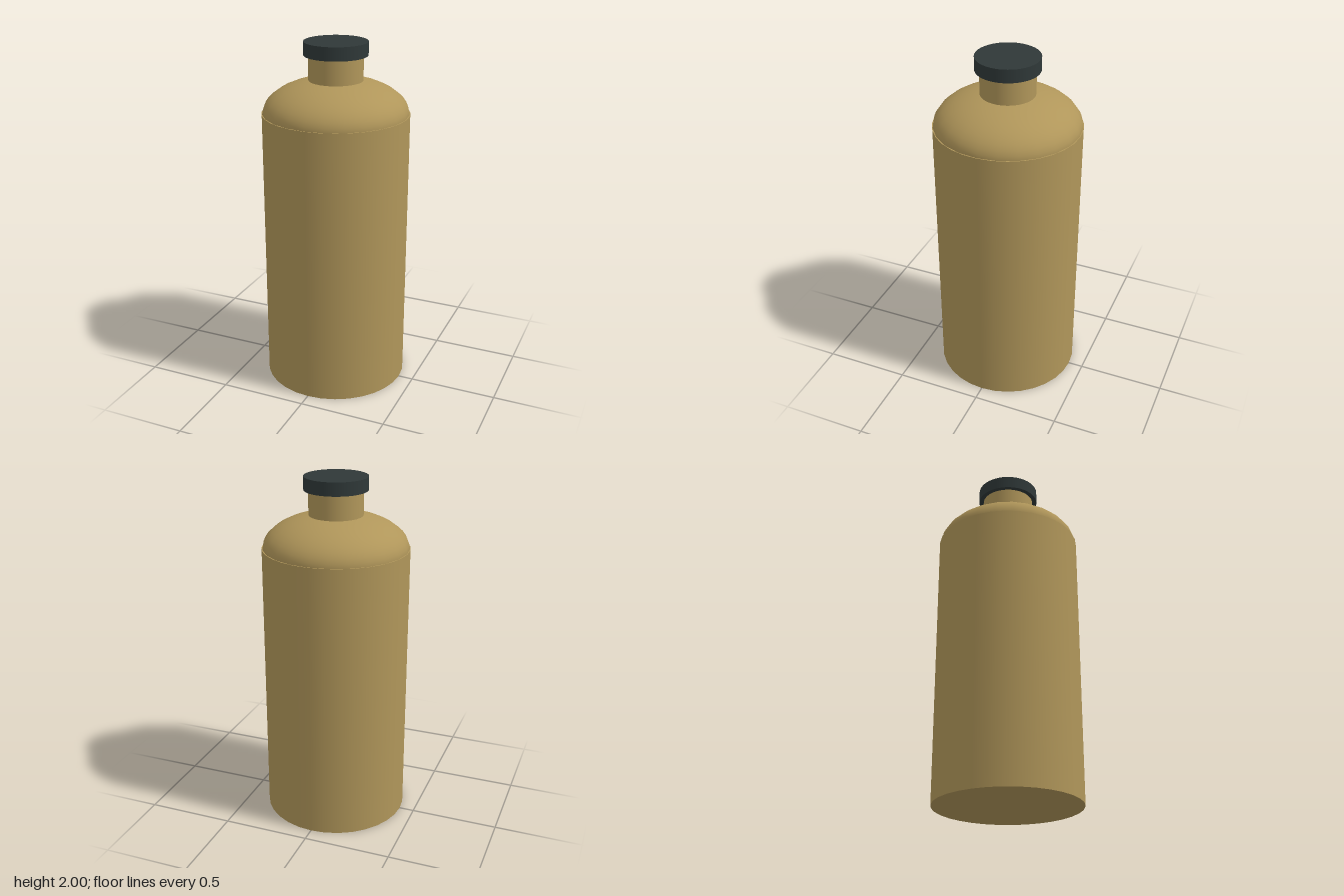
import * as THREE from 'three';

export function createModel() {
  const model = new THREE.Group();
  const brass = new THREE.MeshStandardMaterial({ color: 0xb0965a });
  brass.name = 'brass';
  const dark = new THREE.MeshStandardMaterial({ color: 0x2f3838 });
  dark.name = 'dark cap';

  // Upright cylinder spanning two heights
  const addCylinder = (name, radius, bottom, top, segments, material) => {
    const mesh = new THREE.Mesh(
      new THREE.CylinderGeometry(radius, radius, top - bottom, segments), material);
    mesh.name = name;
    mesh.position.y = (bottom + top) / 2;
    model.add(mesh);
  };

  addCylinder('body', 0.414, 0, 1.603, 32, brass);
  addCylinder('neck', 0.152, 1.75, 1.935, 32, brass);
  addCylinder('cap', 0.178, 1.925, 2, 48, dark);

  // Shoulder: flattened half sphere sitting on the body
  const shoulder = new THREE.Mesh(
    new THREE.SphereGeometry(0.41, 24, 12, 0, Math.PI * 2, 0, Math.PI / 2), brass);
  shoulder.name = 'shoulder';
  shoulder.position.y = 1.6;
  shoulder.scale.y = 0.49;
  model.add(shoulder);

  return model;
}
